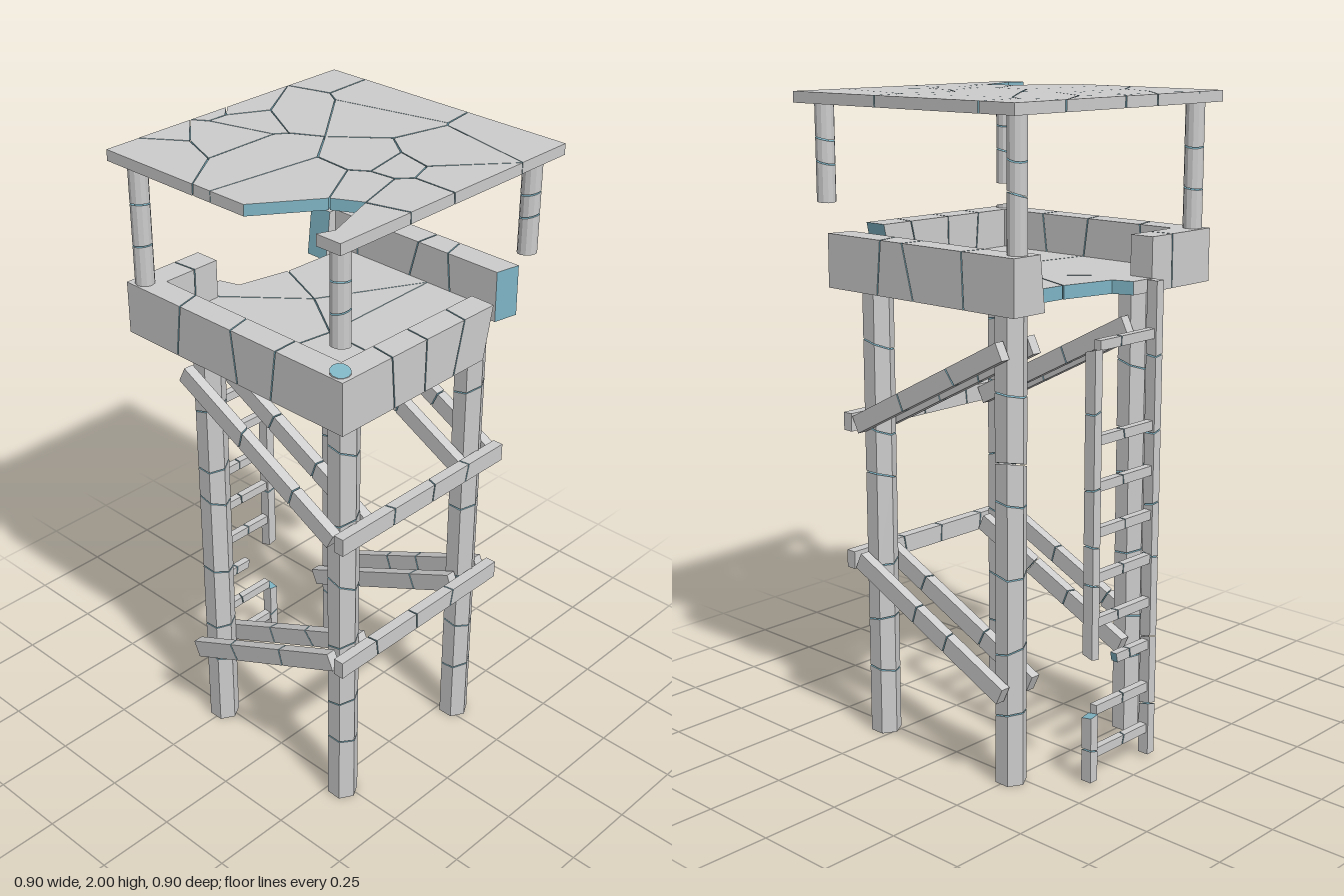
import * as THREE from 'three';

const grey = new THREE.MeshStandardMaterial({ color: 0xcccccc, flatShading: true });
const teal = new THREE.MeshStandardMaterial({ color: 0x7fb4c4, flatShading: true });
const GAP = 0.004;

let seed = 7;
const rnd = () => (seed = (seed * 16807) % 2147483647) / 2147483647;
const V = (x, y, z) => new THREE.Vector3(x, y, z);

// Cross-sections of unit length along y
const box = (w, d) => () => new THREE.BoxGeometry(w, 1, d);
const round = (r, sides) => () => new THREE.CylinderGeometry(r, r, 1, sides, 1, false, Math.PI / 2);

// Straight member from a to b, split into n chunks by slanted cracks.
// broken[0] / broken[1] give a slanted, coloured end at a / b.
function member(name, a, b, section, n, broken = [false, false]) {
  const group = new THREE.Group();
  group.name = name;
  const dir = b.clone().sub(a), len = dir.length();
  group.position.copy(a);
  group.quaternion.setFromUnitVectors(V(0, 1, 0), dir.normalize());
  const cuts = [];
  for (let i = 0; i <= n; i++) {
    const end = i === 0 || i === n;
    const flat = (i === 0 && !broken[0]) || (i === n && !broken[1]);
    const jitter = end ? 0 : (rnd() - 0.5) * 0.5;
    cuts.push({
      t: len * (i + jitter) / n, flat, gap: end ? 0 : GAP / 2,
      sx: flat ? 0 : (rnd() - 0.5) * 0.6, sz: flat ? 0 : (rnd() - 0.5) * 0.6,
    });
  }
  for (let i = 0; i < n; i++) {
    const geo = section(), p = geo.attributes.position;
    for (let k = 0; k < p.count; k++) {
      const top = p.getY(k) > 0, c = cuts[top ? i + 1 : i];
      p.setY(k, c.t + c.sx * p.getX(k) + c.sz * p.getZ(k) + (top ? -c.gap : c.gap));
    }
    geo.computeVertexNormals();
    const lo = cuts[i].flat ? grey : teal, hi = cuts[i + 1].flat ? grey : teal;
    const mats = geo.type === 'BoxGeometry' ? [grey, grey, hi, lo, grey, grey] : [grey, hi, lo];
    const chunk = new THREE.Mesh(geo, mats);
    chunk.name = name + 'Chunk';
    group.add(chunk);
  }
  return group;
}

// Flat slab made of polygon cells; side faces inside the outline are coloured
function slab(name, points, cells, y, h, isOuter) {
  const group = new THREE.Group();
  group.name = name;
  for (const cell of cells) {
    const pts = cell.map(i => new THREE.Vector2(points[i][0], -points[i][1]));
    const mid = pts.reduce((s, p) => s.add(p), new THREE.Vector2()).divideScalar(pts.length);
    pts.forEach(p => p.add(mid.clone().sub(p).setLength(GAP * 0.6)));
    const geo = new THREE.ExtrudeGeometry(new THREE.Shape(pts), { depth: h, bevelEnabled: false });
    geo.rotateX(-Math.PI / 2).translate(0, y, 0);
    const p = geo.attributes.position, sides = geo.groups[1];
    geo.clearGroups();
    geo.addGroup(0, sides.start, 0);
    for (let s = sides.start; s < p.count; s += 6) {
      const idx = [0, 1, 2, 3, 4, 5].map(k => s + k);
      geo.addGroup(s, 6, isOuter(idx.map(k => p.getX(k)), idx.map(k => p.getZ(k))) ? 0 : 1);
    }
    const piece = new THREE.Mesh(geo, [grey, teal]);
    piece.name = name + 'Piece';
    group.add(piece);
  }
  return group;
}

const same = (list, test) => list.every(test);

export function createModel() {
  const model = new THREE.Group();
  model.name = 'brokenWatchtower';
  const add = (...args) => model.add(member(...args));

  // Roof: cracked plate with a missing piece in the front edge
  const roofPoints = [
    [-.43, -.45], [.45, -.45], [.45, .45], [-.43, .45], [-.3, -.45], [.1, -.45], [.45, -.26], [.45, .02],
    [.45, .19], [-.08, .45], [-.015, .45], [-.43, .335], [-.43, -.25], [-.43, .14], [-.43, 0], [-.295, -.29],
    [-.245, -.26], [.115, -.345], [.125, -.33], [.08, -.152], [.165, -.09], [.28, -.063], [.31, .018], [.275, .058],
    [.195, .065], [.145, .1], [.025, .09], [-.065, -.03], [-.155, .02], [-.18, .055], [-.18, .3], [-.31, .25],
    [-.385, .11], [-.385, .045], [-.32, -.07], [.24, .27], [.325, .225], [.11, .45], [.385, .4], [.365, .45],
  ];
  const roofCells = [
    [0, 4, 15, 12], [4, 5, 17, 16, 15], [5, 1, 6, 18, 17], [16, 17, 18, 19, 27], [18, 6, 21, 20, 19],
    [6, 7, 22, 21], [20, 21, 22, 23, 24], [19, 20, 24, 25, 26, 27], [15, 16, 27, 28, 34, 12], [12, 34, 33, 14],
    [34, 28, 29, 32, 33], [14, 33, 32, 13], [13, 32, 29, 30, 31], [13, 31, 11], [11, 31, 30, 9, 3],
    [29, 28, 27, 26, 10, 9, 30], [26, 25, 35, 37, 10], [25, 24, 23, 36, 35], [23, 22, 7, 8, 36], [8, 2, 39, 38, 36],
  ];
  model.add(slab('roof', roofPoints, roofCells, 1.967, 0.033, (xs, zs) =>
    same(xs, x => x > .44) || same(xs, x => x < -.42) || same(zs, z => z > .44) || same(zs, z => z < -.44)));

  // Roof posts: the two on the +x side have snapped off
  const post = round(0.029, 12);
  for (const z of [0.389, -0.378]) {
    add('roofPost', V(-0.373, 1.5, z), V(-0.373, 1.967, z), post, 4);
    add('brokenRoofPost', V(0.394, 1.68, z), V(0.394, 1.967, z), post, 3, [true, false]);
  }
  add('postStub', V(0.394, 1.5, 0.389), V(0.394, 1.605, 0.389), post, 1, [false, true]);

  // Platform floor with broken back corner and ladder opening
  const floorPoints = [
    [-.34, .345], [.355, .345], [.355, -.165], [.3, -.22], [.25, -.355], [-.3, -.355], [-.31, -.12],
    [-.35, .05], [-.413, .07], [-.413, .15], [-.34, .15], [.02, .345], [.06, .08], [-.12, -.04], [.05, -.355], [.355, .1],
  ];
  const floorCells = [
    [0, 11, 12, 13, 10], [11, 1, 15, 12], [12, 15, 2, 3, 4, 14], [13, 12, 14], [13, 14, 5, 6], [10, 13, 6, 7, 8, 9],
  ];
  model.add(slab('platformFloor', floorPoints, floorCells, 1.437, 0.04, xs => same(xs, x => x < -.4)));

  // Parapet walls
  const wallX = box(0.16, 0.08), wallZ = box(0.08, 0.16), wy = 1.517;
  add('frontWall', V(-0.413, wy, 0.383), V(0.434, wy, 0.383), wallX, 4);
  add('backWall', V(-0.413, wy, -0.394), V(0.32, wy, -0.394), wallX, 4, [false, true]);
  add('rightWall', V(0.394, wy, 0.343), V(0.394, wy, -0.17), wallZ, 4, [false, true]);
  add('ladderSideWall', V(-0.373, wy, 0.343), V(-0.373, wy, 0.15), wallZ, 2);
  add('ladderSideWallStub', V(-0.373, wy, -0.354), V(-0.373, wy, -0.32), wallZ, 1, [false, true]);

  // Six-sided legs
  for (const x of [-0.254, 0.291])
    for (const z of [0.265, -0.275])
      add('leg', V(x, 0, z), V(x, 1.438, z), round(0.048, 6), 7);

  // Diagonal braces in pairs clasping the front and back legs
  for (const z of [0.335, 0.206, -0.209, -0.338]) {
    add('upperBrace', V(-0.28, 1.317, z), V(0.318, 1.008, z), box(0.055, 0.032), 3);
    add('lowerBrace', V(-0.28, 0.297, z), V(0.318, 0.575, z), box(0.055, 0.032), 3);
  }

  // Level rails across the +x legs
  for (const y of [0.572, 1.012])
    add('sideRail', V(0.352, y, 0.351), V(0.352, y, -0.354), box(0.034, 0.056), 4);

  // Ladder with one broken rail and missing rungs
  const lx = -0.437, rail = box(0.036, 0.031);
  add('ladderRail', V(lx, 0.01, 0.137), V(lx, 1.477, 0.137), rail, 7);
  add('brokenLadderRail', V(lx, 0.01, -0.132), V(lx, 0.215, -0.132), rail, 2, [false, true]);
  add('brokenLadderRail', V(lx, 0.4, -0.132), V(lx, 1.31, -0.132), rail, 5, [true, true]);
  for (const i of [0, 1, 2, 3, 4, 5, 6, 7, 9]) {
    const y = 0.095 + i * 0.1365, snapped = i === 2;
    add('ladderRung', V(lx, y, 0.122), V(lx, y, snapped ? -0.025 : -0.117), box(0.024, 0.029), 2, [false, snapped]);
  }
  return model;
}
